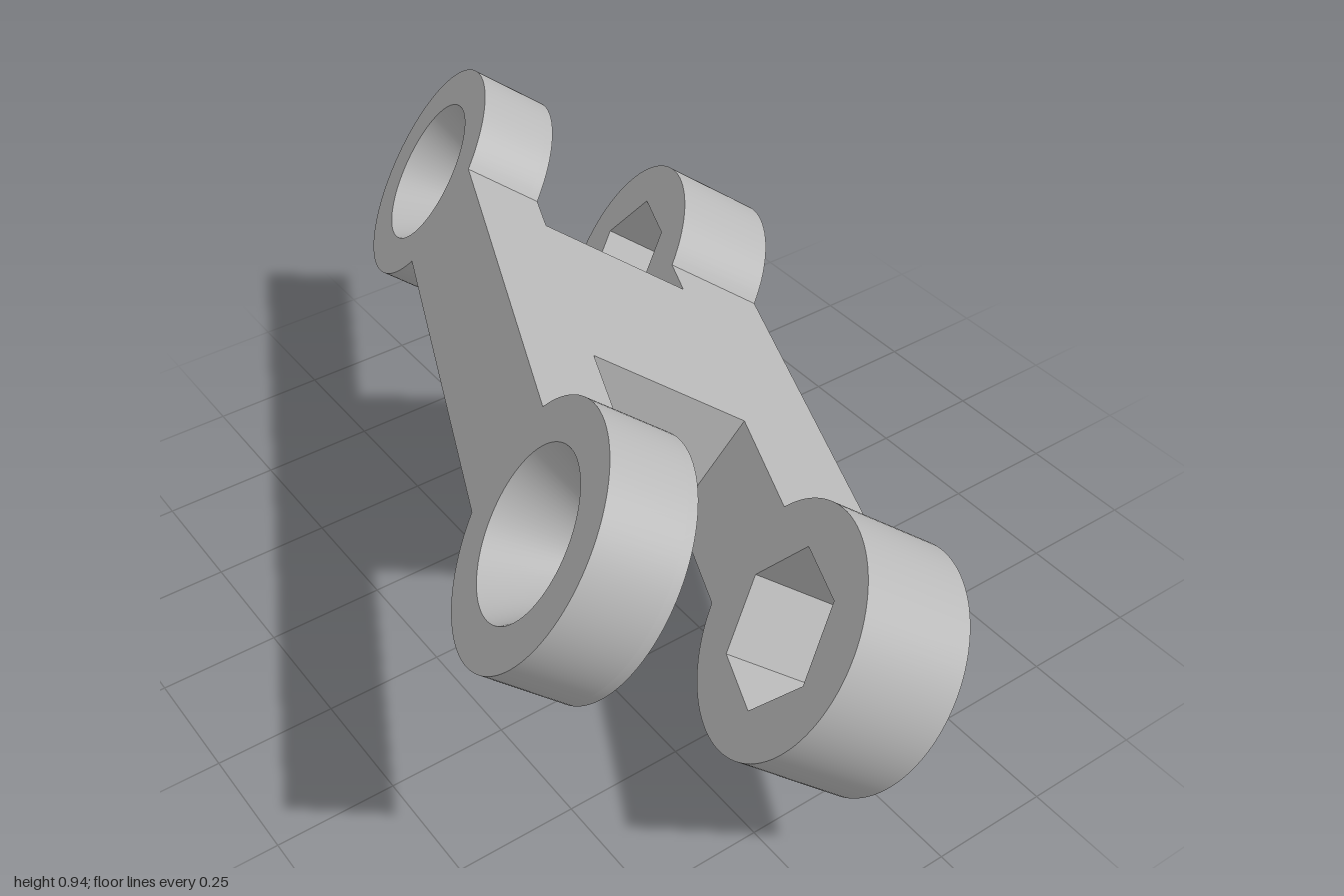
import * as THREE from 'three';
import { toCreasedNormals } from 'three/addons/utils/BufferGeometryUtils.js';

// Local frame: x along the link, y through its thickness, z along the pin axes
const REACH = 0.683;          // half the distance between pin centres
const RADIUS = 0.25;          // round ends
const HALF_THICK = 0.125;     // half the thickness of the bars
const HALF_WIDTH = 0.386;     // half the width across both bars
const HEX_BAR = 0.235;        // width of the bar with hexagonal pockets
const ROUND_BAR = 0.175;      // width of the bar with countersunk holes
const LIP = 0.02;             // straight part of each countersunk hole
const HOLE = 0.08, SINK = 0.164, HEX = 0.158;

// Bar with two round ends and a hole in each end
function barGeometry(makeHole, z0, z1) {
  const neck = Math.asin(HALF_THICK / RADIUS);
  const shape = new THREE.Shape();
  shape.absarc(REACH, 0, RADIUS, -Math.PI + neck, Math.PI - neck, false);
  shape.absarc(-REACH, 0, RADIUS, neck, 2 * Math.PI - neck, false);
  shape.closePath();
  for (const x of [REACH, -REACH]) shape.holes.push(makeHole(x));
  const geo = new THREE.ExtrudeGeometry(shape, { depth: z1 - z0, bevelEnabled: false, curveSegments: 40 });
  geo.translate(0, 0, z0);
  return toCreasedNormals(geo, 0.4);
}

const roundHole = (r) => (x) => new THREE.Path().absarc(x, 0, r, 0, Math.PI * 2, true);

function hexHole(x) {
  const pts = [];
  for (let i = 0; i < 6; i++) {
    const a = -i * Math.PI / 3;
    pts.push(new THREE.Vector2(x + HEX * Math.cos(a), HEX * Math.sin(a)));
  }
  return new THREE.Path(pts);
}

export function createModel() {
  const grey = new THREE.MeshStandardMaterial({ color: 0xb8b8b8 });
  grey.name = 'grey';

  const link = new THREE.Group();
  link.name = 'link';
  const add = (name, geo) => {
    const mesh = new THREE.Mesh(geo, grey);
    mesh.name = name;
    link.add(mesh);
    return mesh;
  };

  // Bar with hexagonal pockets
  const hexInner = HALF_WIDTH - HEX_BAR;
  add('hexBar', barGeometry(hexHole, hexInner, HALF_WIDTH));

  // Bar with countersunk holes: wide layer outside, thin lip inside
  const roundInner = -HALF_WIDTH + ROUND_BAR;
  add('countersunkBar', barGeometry(roundHole(SINK), -HALF_WIDTH, roundInner - LIP));
  add('countersunkBarLip', barGeometry(roundHole(HOLE), roundInner - LIP, roundInner));

  // Conical walls of the countersinks
  for (const x of [REACH, -REACH]) {
    const cone = new THREE.LatheGeometry([
      new THREE.Vector2(HOLE, roundInner - LIP),
      new THREE.Vector2(SINK, -HALF_WIDTH),
    ], 80);
    cone.rotateX(Math.PI / 2);
    add('countersink', cone).position.x = x;
  }

  // Web joining the bars, set off centre
  const webStart = -0.175, webEnd = 0.355;
  const web = add('web', new THREE.BoxGeometry(webEnd - webStart, HALF_THICK * 2, hexInner - roundInner));
  web.position.set((webStart + webEnd) / 2, 0, (hexInner + roundInner) / 2);

  // Tilt the whole link into its resting pose
  const along = new THREE.Vector3(0.399, -0.0695, -0.914).normalize();
  const up = new THREE.Vector3(0.745, -0.55, 0.376).cross(along).normalize();
  const axis = along.clone().cross(up);
  link.quaternion.setFromRotationMatrix(new THREE.Matrix4().makeBasis(along, up, axis));
  link.position.y = 0.47;

  const model = new THREE.Group();
  model.name = 'model';
  model.add(link);
  return model;
}
